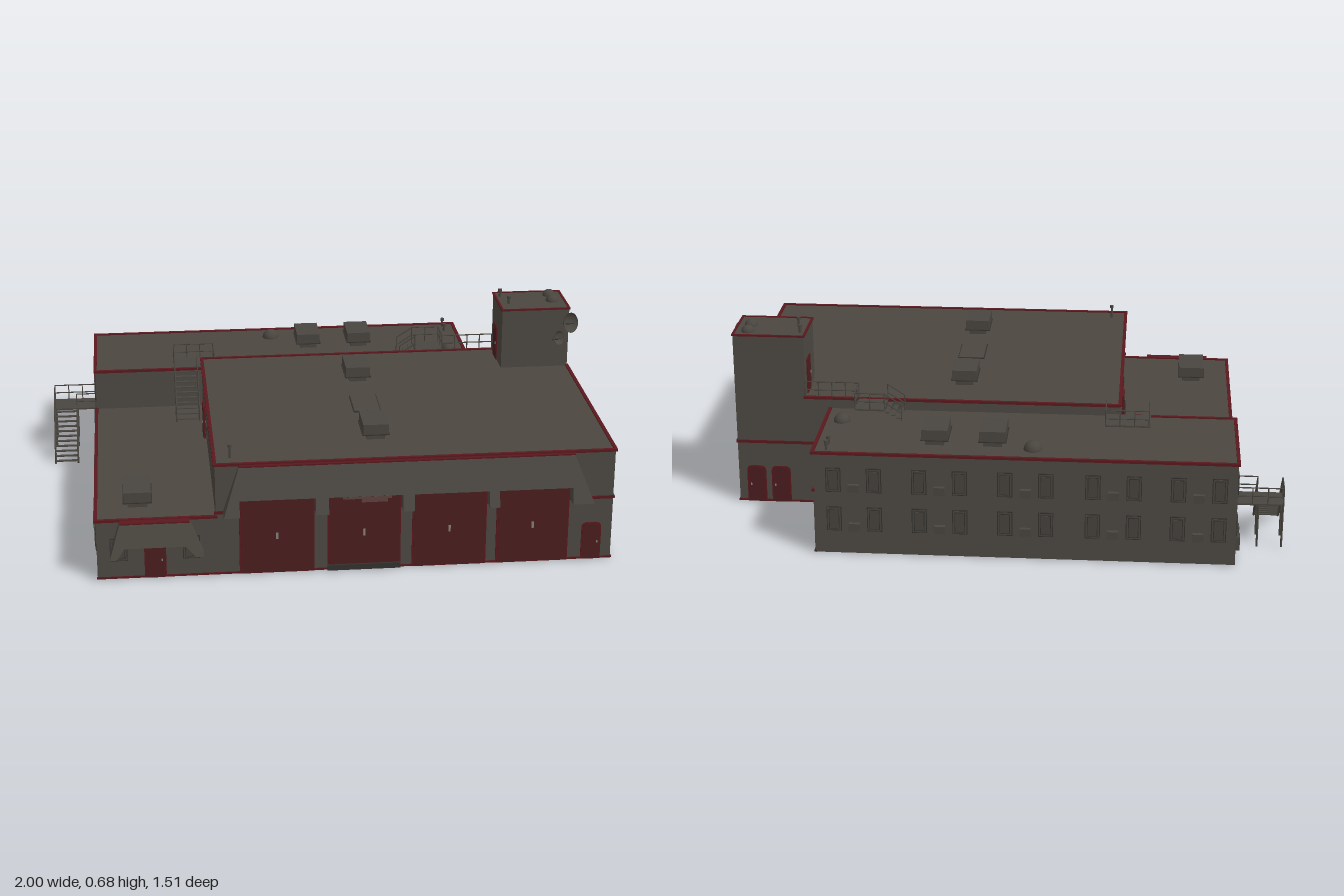
import * as THREE from 'three';

const mat = (name, color) => {
  const m = new THREE.MeshStandardMaterial({ color, side: THREE.DoubleSide });
  m.name = name;
  return m;
};

export function createModel() {
  const root = new THREE.Group();
  root.name = 'depotBuilding';
  const wallMat = mat('wallGrey', 0x4d4842), roofMat = mat('roofGrey', 0x4b4640);
  const red = mat('doorRed', 0x4b1d1f), trimRed = mat('trimRed', 0x5a181d), worn = mat('wornRed', 0x5f4340);
  const dark = mat('darkMetal', 0x34312d), glass = mat('windowGrey', 0x47433e);
  const metal = mat('unitGrey', 0x49453f), pale = mat('handleGrey', 0x85807a);

  const add = (name, geo, m, x = 0, y = 0, z = 0) => {
    const mesh = new THREE.Mesh(geo, m);
    mesh.name = name;
    mesh.position.set(x, y, z);
    root.add(mesh);
    return mesh;
  };
  const box = (name, m, x, y, z, w, h, d) => add(name, new THREE.BoxGeometry(w, h, d), m, x, y, z);
  const bar = (name, m, a, b, r) => {
    const A = new THREE.Vector3(...a), B = new THREE.Vector3(...b), d = B.clone().sub(A);
    const mesh = add(name, new THREE.CylinderGeometry(r, r, d.length(), 6), m);
    mesh.position.copy(A).add(B).multiplyScalar(0.5);
    mesh.quaternion.setFromUnitVectors(new THREE.Vector3(0, 1, 0), d.normalize());
    return mesh;
  };
  // Upright sheet between two plan points
  const wall = (name, x0, z0, x1, z1, y0, y1) => {
    const g = new THREE.PlaneGeometry(Math.hypot(x1 - x0, z1 - z0), y1 - y0);
    add(name, g, wallMat, (x0 + x1) / 2, (y0 + y1) / 2, (z0 + z1) / 2).rotation.y = Math.atan2(z0 - z1, x1 - x0);
  };
  const roof = (name, x0, x1, z0, z1, y) =>
    add(name, new THREE.PlaneGeometry(x1 - x0, z1 - z0), roofMat, (x0 + x1) / 2, y, (z0 + z1) / 2).rotation.x = -Math.PI / 2;
  // Red edging along a run of plan points
  const trim = (name, pts, y, h = 0.009, t = 0.012) => {
    for (let i = 0; i + 1 < pts.length; i++) {
      const [a, b] = pts[i], [c, d] = pts[i + 1];
      box(name, trimRed, (a + c) / 2, y, (b + d) / 2, Math.abs(c - a) + t, h, Math.abs(d - b) + t);
    }
  };
  // Plate set into a wall: axis 'x' for walls facing sideways, 'z' for front and back
  const plate = (name, m, axis, at, u, y, w, h, t) =>
    axis === 'x' ? box(name, m, at, y, u, t, h, w) : box(name, m, u, y, at, w, h, t);
  // Window: grey surround and pane, each with a dark joint around it
  const windowAt = (axis, at, u, y, w, h) => {
    plate('windowJoint', dark, axis, at, u, y, w, h, 0.007);
    plate('windowFrame', metal, axis, at, u, y, w - 0.006, h - 0.006, 0.009);
    plate('windowGap', dark, axis, at, u, y, w - 0.016, h - 0.016, 0.011);
    plate('windowPane', glass, axis, at, u, y, w - 0.021, h - 0.021, 0.013);
  };
  // Door leaf with rounded top corners
  const slab = (name, m, axis, at, u, y0, w, h, t, r) => {
    const s = new THREE.Shape().moveTo(-w / 2, 0).lineTo(w / 2, 0).lineTo(w / 2, h - r)
      .quadraticCurveTo(w / 2, h, w / 2 - r, h).lineTo(r - w / 2, h).quadraticCurveTo(-w / 2, h, -w / 2, h - r);
    const g = new THREE.ExtrudeGeometry(s, { depth: t, bevelEnabled: false, curveSegments: 4 });
    g.translate(0, 0, -t / 2);
    if (axis === 'x') add(name, g, m, at, y0, u).rotation.y = Math.PI / 2;
    else add(name, g, m, u, y0, at);
  };
  const doorAt = (axis, at, u, y0, w, h, r = 0.004) => {
    slab('doorFrame', trimRed, axis, at, u, y0, w, h, 0.006, r);
    slab('door', red, axis, at, u, y0, w - 0.01, h - 0.005, 0.009, r);
    plate('doorHandle', pale, axis, at, u + w * 0.3, y0 + h * 0.48, 0.005, 0.009, 0.013);
  };

  // Outer walls
  const L = -0.83, M = -0.42, B = 0.62, R = 0.965, F = 0.69, K = -0.328, K2 = -0.74;
  const HW = 0.22, HB = 0.373, HH = 0.412, HT = 0.643;
  wall('wingFrontWall', L, F, M, F, 0, HW);
  wall('wingSideWall', L, K, L, F, 0, HW);
  wall('hallFrontWall', M, F, R, F, 0, HH);
  wall('hallRightWall', R, F, R, K, 0, HH);
  wall('hallBackWall', R, K, B, K, 0, HH);
  wall('hallUpperSideWall', M, K, M, F, HW, HH);
  wall('hallUpperBackWall', B, K, M, K, HB, HH);
  wall('blockRightWall', B, K, B, K2, 0, HB);
  wall('blockBackWall', B, K2, L, K2, 0, HB);
  wall('blockLeftWall', L, K2, L, K, 0, HB);
  wall('blockUpperFrontWall', L, K, M, K, HW, HB);
  roof('wingRoof', L, M, K, F, HW);
  roof('hallRoof', M, R, K, F, HH);
  roof('blockRoof', L, B, K2, K, HB);

  // Corner tower
  const TL = 0.71, TF = -0.125;
  wall('towerFront', TL, TF, R, TF, HH, HT);
  wall('towerRight', R, TF, R, K, HH, HT);
  wall('towerBack', R, K, TL, K, HH, HT);
  wall('towerLeft', TL, K, TL, TF, HH, HT);
  roof('towerRoof', TL, R, K, TF, HT);

  // Red edging
  trim('towerTrim', [[TL, TF], [R, TF], [R, K], [TL, K], [TL, TF]], HT, 0.006, 0.008);
  trim('hallRoofTrim', [[TL, K], [M, K], [M, F], [R, F], [R, TF]], HH);
  trim('blockRoofTrim', [[M, K], [L, K], [L, K2], [B, K2], [B, K]], HB);
  trim('wingRoofTrim', [[L, K], [L, F], [M, F]], HW);
  trim('storeyBand', [[M, F], [R, F], [R, K], [B, K], [B, K2]], 0.235, 0.01, 0.009);
  trim('baseBand', [[L, F], [R, F], [R, K], [B, K], [B, K2]], 0.004, 0.007, 0.007);

  // Sloped canopies: comb-shaped front leaning outwards towards its foot
  const canopy = (name, outline, top, z0, lean) => {
    const s = new THREE.Shape(outline.map(p => new THREE.Vector2(...p)));
    const g = new THREE.ExtrudeGeometry(s, { depth: 1, bevelEnabled: false });
    const p = g.attributes.position;
    for (let i = 0; i < p.count; i++)
      p.setZ(i, p.getZ(i) > 0.5 ? z0 + (top - p.getY(i)) * lean : F + 0.002);
    g.computeVertexNormals();
    add(name, g, wallMat);
  };
  const gates = [[-0.34, -0.08], [-0.035, 0.22], [0.26, 0.52], [0.555, 0.81]];
  const comb = [[0.82, 0.406], [-0.34, 0.406], [-0.395, 0.24]];
  for (const [a, b] of gates) comb.push([a, 0.24], [a, 0.296], [b, 0.296], [b, 0.24]);
  comb.push([0.885, 0.24]);
  canopy('gateCanopy', comb, 0.406, 0.71, 0.27);
  box('gateCanopyTop', trimRed, 0.24, 0.408, 0.7, 1.16, 0.006, 0.018);
  canopy('entranceCanopy', [[-0.51, 0.217], [-0.75, 0.217], [-0.785, 0.1], [-0.76, 0.1], [-0.735, 0.137],
    [-0.525, 0.137], [-0.49, 0.1], [-0.465, 0.1]], 0.217, 0.725, 0.25);
  box('entranceCanopyTop', trimRed, -0.63, 0.219, 0.708, 0.24, 0.006, 0.032);

  // Vehicle gates and front doors
  gates.forEach(([a, b], i) => {
    const x = (a + b) / 2;
    slab('gateFrame', trimRed, 'z', F, x, 0, b - a, 0.296, 0.01, 0.008);
    slab('gate', red, 'z', F, x, 0.004, b - a - 0.012, 0.286, 0.015, 0.008);
    box('gateHandle', pale, x, 0.142, F, 0.008, 0.024, 0.02);
    if (i === 1) {
      box('gateGap', dark, x, 0.012, F, b - a, 0.02, 0.03);
      box('gateWear', worn, x + 0.01, 0.272, F, 0.17, 0.008, 0.017);
      box('gateWear', worn, x + 0.035, 0.262, F, 0.09, 0.014, 0.017);
    }
  });
  doorAt('z', F, -0.63, 0, 0.075, 0.14, 0.015);
  doorAt('z', F, 0.893, 0, 0.07, 0.14, 0.02);
  for (const x of [-0.755, -0.505]) windowAt('z', F, x, 0.11, 0.06, 0.085);

  // Other doors
  doorAt('z', K, 0.9, 0, 0.07, 0.14, 0.02);
  doorAt('z', K, 0.81, 0, 0.07, 0.14, 0.02);
  doorAt('x', B, -0.527, 0, 0.075, 0.145);
  doorAt('x', L - 0.004, -0.54, 0.16, 0.07, 0.13);
  doorAt('x', M - 0.007, -0.03, HW, 0.07, 0.13);
  doorAt('x', TL, -0.25, HH, 0.07, 0.13);
  windowAt('x', M, 0.165, 0.32, 0.05, 0.06);

  // Tall side windows, then paired back windows with cooling units
  for (const z of [0.53, 0.33, 0.132, -0.067])
    for (const y of [0.14, 0.322]) windowAt('x', R, z, y, 0.046, 0.138);
  for (const x of [-0.7, -0.41, -0.11, 0.185, 0.48])
    for (const y of [0.13, 0.275]) {
      for (const s of [-1, 1]) windowAt('z', K2, x + s * 0.07, y, 0.052, 0.09);
      box('coolingUnit', metal, x, y - 0.028, K2 - 0.006, 0.038, 0.028, 0.018);
    }
  for (const z of [-0.23, 0.03, 0.29, 0.57])
    for (const s of [-1, 1]) windowAt('x', L, z + s * 0.035, 0.125, 0.05, 0.09);
  for (const z of [-0.67, -0.41])
    for (const y of [0.12, 0.275]) windowAt('x', L, z, y, 0.052, 0.09);
  for (const [z, y] of [[-0.18, 0.06], [0.335, 0.06], [-0.6, 0.06], [-0.68, 0.06]])
    box('sideCoolingUnit', metal, L - 0.006, y, z, 0.02, 0.05, 0.038);

  // Service boxes and pipes beside the right rear door
  for (const [z, y, w, h] of [[-0.465, 0.315, 0.045, 0.055], [-0.433, 0.115, 0.058, 0.09],
    [-0.6, 0.182, 0.045, 0.05], [-0.6, 0.1, 0.042, 0.055]])
    box('serviceBox', metal, B + 0.008, y, z, 0.018, h, w);
  for (const [z, y0, y1] of [[-0.462, 0.02, 0.3], [-0.44, 0.01, 0.08], [-0.6, 0.01, 0.08]])
    bar('servicePipe', metal, [B + 0.006, y0, z], [B + 0.006, y1, z], 0.003);

  // Rooftop units on a narrower plinth
  const unit = (x, z, y, w, d) => {
    box('roofUnit', metal, x, y + 0.036, z, w, 0.04, d);
    box('roofUnitPlinth', metal, x, y + 0.009, z, w * 0.72, 0.018, d * 0.94);
    box('roofUnitSkirt', dark, x, y + 0.018, z, w + 0.007, 0.003, d + 0.007);
  };
  unit(0.152, -0.1, HH, 0.09, 0.135);
  unit(0.152, 0.455, HH, 0.09, 0.135);
  unit(-0.685, 0.515, HW, 0.095, 0.155);
  unit(0.01, -0.58, HB, 0.09, 0.135);
  unit(0.21, -0.58, HB, 0.09, 0.135);
  box('roofHatchRim', dark, 0.152, HH + 0.002, 0.19, 0.1, 0.004, 0.155);
  box('roofHatch', roofMat, 0.152, HH + 0.003, 0.19, 0.093, 0.005, 0.148);

  // Domes and vent pipes
  for (const [x, y, z, r] of [[-0.13, HB, -0.655, 0.032], [0.56, HB, -0.445, 0.03],
    [0.917, HT, -0.283, 0.024], [0.917, HT, -0.218, 0.024]])
    add('roofDome', new THREE.SphereGeometry(r, 16, 8, 0, Math.PI * 2, 0, Math.PI / 2), metal, x, y, z);
  for (const [x, y, z, h] of [[-0.365, HH, 0.63, 0.05], [0.575, HB, -0.71, 0.035], [0.575, HB, -0.66, 0.03],
    [0.728, HT, -0.285, 0.03], [0.747, HT, -0.2, 0.03]]) {
    bar('ventPipe', metal, [x, y, z], [x, y + h, z], 0.005);
    bar('ventCap', metal, [x, y + h - 0.01, z], [x, y + h, z], 0.008);
  }

  // Tower dishes
  for (const [x, y, z, r] of [[0.965, 0.592, -0.095, 0.038], [0.925, 0.53, -0.102, 0.026]]) {
    const dir = new THREE.Vector3(0.55, 0.25, 0.8).normalize();
    const dish = add('dish', new THREE.SphereGeometry(r * 1.2, 18, 6, 0, Math.PI * 2, 0, 1), metal,
      x + dir.x * r * 0.8, y + dir.y * r * 0.8, z + dir.z * r * 0.8 - 0.01);
    dish.quaternion.setFromUnitVectors(new THREE.Vector3(0, -1, 0), dir);
    bar('dishArm', metal, [x - 0.02, y - 0.01, TF], [x, y, z], 0.004);
    bar('dishFeed', metal, [x, y, z - 0.005], [x + dir.x * r * 0.6, y + dir.y * r * 0.6, z + dir.z * r * 0.6], 0.002);
  }

  // Railings follow a path of floor points
  const rail = (pts, h = 0.062) => {
    for (let i = 0; i + 1 < pts.length; i++) {
      const a = pts[i], b = pts[i + 1], up = (p, k) => [p[0], p[1] + h * k, p[2]];
      for (const k of [0.5, 1]) bar('handrail', metal, up(a, k), up(b, k), 0.0022);
      const n = Math.max(1, Math.round(Math.hypot(b[0] - a[0], b[2] - a[2]) / 0.055));
      for (let j = 0; j <= n; j++) {
        const p = a.map((v, q) => v + (b[q] - v) * j / n);
        bar('railPost', metal, p, up(p, 1), 0.0022);
      }
    }
  };
  // Open stair running between two heights along z
  const stair = (x0, x1, zTop, zLow, yTop, yLow, n) => {
    for (let i = 0; i < n; i++) {
      const t = (i + 0.5) / n;
      box('stairTread', metal, (x0 + x1) / 2, yTop + (yLow - yTop) * t, zTop + (zLow - zTop) * t, x1 - x0, 0.004, 0.012);
    }
    for (const x of [x0, x1]) {
      bar('stairStringer', metal, [x, yTop, zTop], [x, yLow, zLow], 0.004);
      rail([[x, yTop, zTop], [x, yLow, zLow]]);
    }
  };

  // Roof stair from wing to block
  box('roofLanding', metal, -0.45, HB + 0.004, -0.383, 0.16, 0.006, 0.106);
  stair(-0.525, -0.438, -0.33, -0.17, HB, HW, 10);
  rail([[-0.525, HB, -0.33], [-0.525, HB, -0.433], [-0.372, HB, -0.433], [-0.372, HB, -0.33]]);

  // Steps and walkway from block to hall and tower
  box('walkway', metal, 0.463, HH, -0.383, 0.105, 0.006, 0.106);
  for (let i = 0; i < 3; i++) box('walkwayStep', metal, 0.36 + i * 0.02, HB + 0.01 + i * 0.01, -0.383, 0.015, 0.004, 0.1);
  rail([[0.35, HB, -0.433], [0.41, HH, -0.433], [0.515, HH, -0.433], [0.515, HH, -0.33], [TL, HH, -0.33]]);
  rail([[0.35, HB, -0.335], [0.41, HH, -0.335]]);

  // Outside stair on the far side
  box('stairLanding', metal, -0.915, 0.16, -0.535, 0.17, 0.006, 0.104);
  stair(-0.997, -0.91, -0.485, -0.32, 0.16, 0, 11);
  rail([[-0.835, 0.16, -0.585], [-0.997, 0.16, -0.585], [-0.997, 0.16, -0.485]]);
  rail([[-0.91, 0.16, -0.485], [-0.835, 0.16, -0.485]]);
  for (const z of [-0.583, -0.487]) for (const x of [-0.995, -0.91])
    bar('landingLeg', metal, [x, 0, z], [x, 0.16, z], 0.004);

  return root;
}
